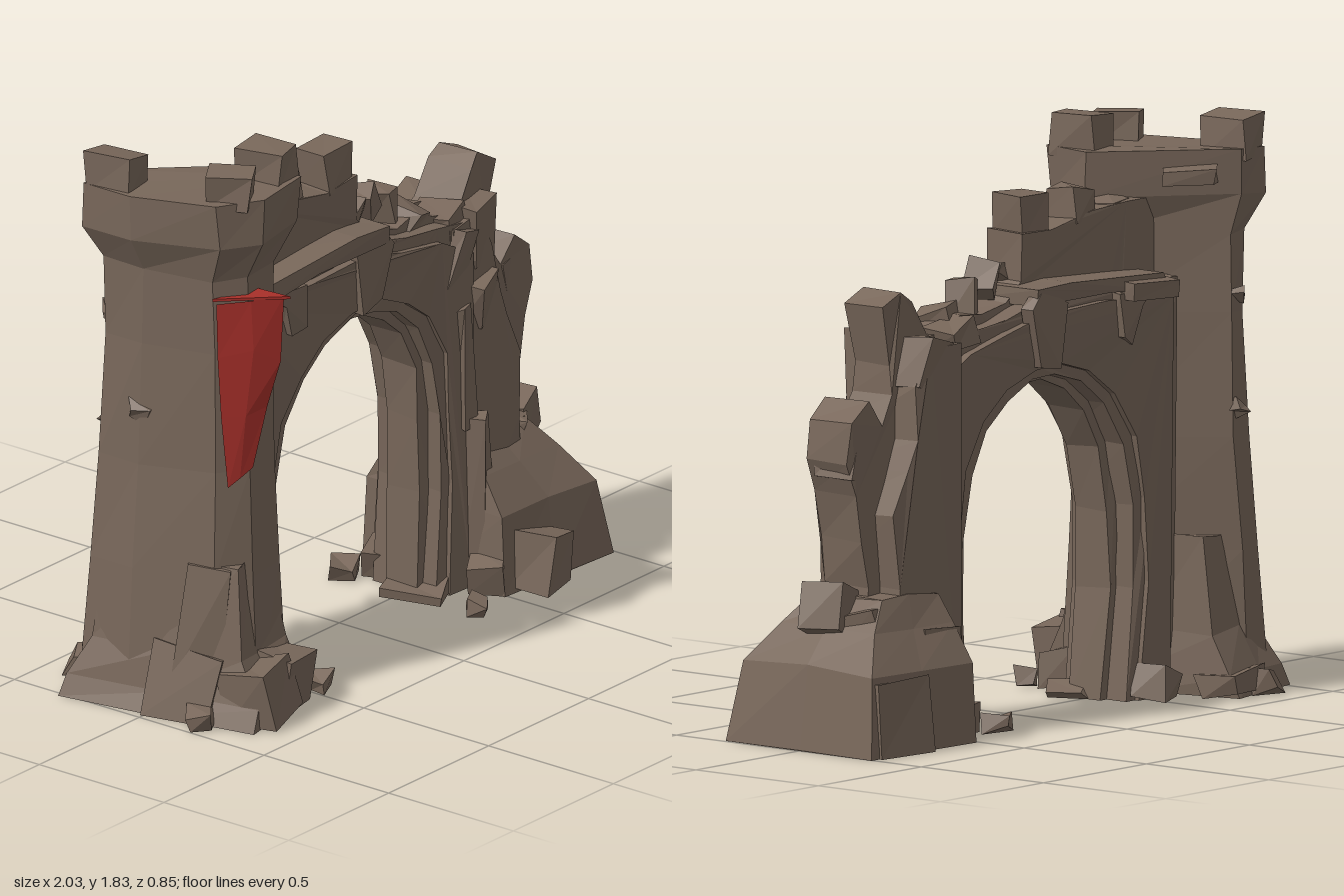
import * as THREE from 'three';

const stone = new THREE.MeshStandardMaterial({ color: 0x78675a });
stone.name = 'weathered stone';
const cloth = new THREE.MeshStandardMaterial({ color: 0xa8302a, side: THREE.DoubleSide });
cloth.name = 'red cloth';

// Shifts vertices by a rule of their position, so shared corners stay joined; then flat normals
function rough(geo, amt) {
  const g = geo.index ? geo.toNonIndexed() : geo;
  const p = g.attributes.position;
  for (let i = 0; i < p.count; i++) {
    const x = p.getX(i), y = p.getY(i), z = p.getZ(i);
    p.setXYZ(i,
      x + amt * Math.sin(37 * x + 23 * y + 51 * z),
      y < 0.005 ? 0 : Math.max(0, y + amt * Math.sin(29 * x + 41 * y + 33 * z + 1)),
      z + amt * Math.sin(43 * x + 31 * y + 27 * z + 2));
  }
  g.computeVertexNormals();
  return g;
}

function add(group, name, geo, amt = 0.01, mat = stone) {
  const mesh = new THREE.Mesh(rough(geo, amt), mat);
  mesh.name = name;
  group.add(mesh);
}

// Slab with a front outline in x, y, from z0 to z1
function slab(pts, z0, z1) {
  const shape = new THREE.Shape(pts.map(([x, y]) => new THREE.Vector2(x, y)));
  return new THREE.ExtrudeGeometry(shape, { depth: z1 - z0, bevelEnabled: false }).translate(0, 0, z0);
}

// Chipped block: centre, size, rotation
function block([x, y, z], [w, h, d], [rx, ry, rz] = [0, 0, 0]) {
  return new THREE.BoxGeometry(w, h, d).rotateX(rx).rotateY(ry).rotateZ(rz).translate(x, y, z);
}

// Footprints in units of half width and half depth
const rectangle = [[1, 1], [1, 0], [1, -1], [0, -1], [-1, -1], [-1, 0], [-1, 1], [0, 1]];
const brokenTower = [[0.95, 0.9], [1, 0.3], [-0.5, -1], [-1, -1], [-1, -0.3], [-0.57, 0.72], [0, 1]];

// Stack of footprint rings [y, centreX, centreZ, width, depth], turned about y
function loft(rings, turn = 0, footprint = rectangle) {
  const n = footprint.length, pos = [], idx = [];
  const c = Math.cos(turn), s = Math.sin(turn);
  for (const [y, cx, cz, w, d] of rings) {
    for (const [a, b] of footprint) {
      const u = a * w / 2, v = b * d / 2;
      pos.push(cx + u * c + v * s, y, cz - u * s + v * c);
    }
  }
  for (let r = 0; r < rings.length - 1; r++) {
    for (let i = 0; i < n; i++) {
      const a = r * n + i, b = r * n + (i + 1) % n;
      idx.push(a, b, b + n, a, b + n, a + n);
    }
  }
  const last = (rings.length - 1) * n;
  for (let i = 1; i < n - 1; i++) idx.push(0, i + 1, i, last, last + i, last + i + 1);
  const g = new THREE.BufferGeometry();
  g.setAttribute('position', new THREE.Float32BufferAttribute(pos, 3));
  g.setIndex(idx);
  return g;
}

// Arch opening, left foot to right foot, widened by off
function opening(off) {
  const pts = [[-0.39, 0], [-0.43, 0.35], [-0.42, 0.6], [-0.38, 0.8], [-0.3, 0.93], [-0.2, 1.01], [-0.08, 1.05],
    [0.02, 1.05], [0.14, 1.0], [0.23, 0.92], [0.3, 0.78], [0.32, 0.6], [0.33, 0.35], [0.31, 0]];
  return pts.map(([x, y]) => [-0.05 + (x + 0.05) * (1 + off / 0.38), y * (1 + off / 1.4)]);
}

export function createModel() {
  const model = new THREE.Group();
  model.name = 'ruinedArchway';
  const part = (name) => {
    const g = new THREE.Group();
    g.name = name;
    model.add(g);
    return g;
  };

  // Tower: broken shaft with a wider crown, standing on a flared foot
  const tower = part('tower');
  add(tower, 'towerFoot', loft([[0, -0.785, 0, 0.34, 0.7], [0.07, -0.775, 0, 0.31, 0.66], [0.2, -0.76, 0, 0.27, 0.53],
    [0.5, -0.735, -0.01, 0.22, 0.44]], 0.2), 0.01);
  add(tower, 'towerShaft', loft([
    [0, -0.74, -0.01, 0.4, 0.56], [0.45, -0.735, -0.015, 0.36, 0.51], [0.8, -0.725, -0.02, 0.32, 0.47],
    [1.2, -0.715, -0.02, 0.31, 0.46], [1.45, -0.715, -0.02, 0.32, 0.46],
    [1.57, -0.7, -0.015, 0.46, 0.54], [1.715, -0.7, -0.015, 0.46, 0.54]], 0, brokenTower), 0.006);
  for (const [p, size, ry] of [
    [[-0.865, 1.75, -0.2], [0.11, 0.13, 0.16], 0.15],
    [[-0.745, 1.75, 0.16], [0.1, 0.12, 0.14], 0.5],
    [[-0.54, 1.755, 0.14], [0.11, 0.14, 0.16], 0.15],
  ]) add(tower, 'towerMerlon', block(p, size, [0, ry, 0]), 0.008);
  add(tower, 'brokenCrownFloor', block([-0.7, 1.635, -0.17], [0.16, 0.05, 0.16], [0.05, 0.6, 0]), 0.01);
  // Rough buttresses and rubble around the tower
  for (const [p, size, rot] of [
    [[-0.9, 0.1, 0.1], [0.08, 0.24, 0.24], [0, 0.2, -0.25]],
    [[-0.82, 0.3, 0.12], [0.11, 0.4, 0.15], [0, 0.5, -0.12]],
    [[-0.65, 0.09, 0.28], [0.16, 0.2, 0.16], [0.1, 0.2, 0]],
    [[-0.78, 0.09, 0.3], [0.16, 0.18, 0.18], [-0.2, 0.2, 0.1]],
    [[-0.72, 0.04, -0.32], [0.18, 0.08, 0.14], [0.2, 0.2, 0]],
    [[-0.82, 0.04, -0.37], [0.08, 0.08, 0.08], [0.3, 0.5, 0.2]],
    [[-0.94, 0.03, 0.2], [0.08, 0.06, 0.07], [0, 0.6, 0.2]],
    [[-0.47, 0.03, 0.3], [0.06, 0.05, 0.06], [0.2, 0.2, 0.3]],
    [[-0.53, 0.06, 0.2], [0.12, 0.12, 0.14], [0.2, 0.4, 0]],
    [[-0.53, 0.05, -0.17], [0.12, 0.1, 0.12], [0, 0.4, 0.2]],
    [[-0.38, 0.02, 0.07], [0.1, 0.04, 0.12], [0, 0.5, -0.4]],
    [[-0.83, 1.48, -0.08], [0.06, 0.08, 0.08], [0.4, 0.3, 0.6]],
    [[-0.87, 0.97, -0.1], [0.04, 0.05, 0.08], [0.5, 0.3, 0.6]],
    [[-0.82, 1.25, -0.265], [0.05, 0.02, 0.04], [0.4, 0.2, 0.5]],
    [[-0.82, 0.9, -0.26], [0.04, 0.03, 0.05], [0.6, 0.2, 0.5]],
  ]) add(tower, 'towerRubble', block(p, size, rot), 0.012);

  // Arched wall in three stepped layers
  const wall = part('archWall');
  add(wall, 'innerWall', slab([...opening(0), [0.5, 0], [0.52, 1.24], [0.38, 1.27], [0.3, 1.31], [0.2, 1.29], [0.08, 1.32],
    [0.01, 1.38], [0, 1.53], [-0.15, 1.52], [-0.35, 1.55], [-0.52, 1.57], [-0.68, 1.57], [-0.68, 0]], -0.07, 0.065), 0.006);
  add(wall, 'middleWall', slab([...opening(0.035), [0.5, 0], [0.52, 1.22], [0.35, 1.25], [0.2, 1.27], [0.05, 1.3],
    [-0.3, 1.33], [-0.66, 1.32], [-0.66, 0]], -0.14, 0.11), 0.006);
  add(wall, 'outerWall', slab([...opening(0.08), [0.5, 0], [0.51, 1.12], [0.35, 1.2], [0.15, 1.24], [0, 1.28],
    [-0.3, 1.28], [-0.62, 1.27], [-0.62, 0]], -0.16, 0.13), 0.006);

  // Sloping ledge with broken corbels, front and back
  add(wall, 'ledge', slab([[-0.58, 1.29], [-0.3, 1.31], [0.06, 1.31], [0.06, 1.36], [-0.1, 1.375], [-0.57, 1.34]], -0.18, 0.155), 0.006);
  for (const z of [-0.16, 0.13]) {
    add(wall, 'corbel', slab([[-0.53, 1.3], [-0.46, 1.25], [-0.42, 1.14], [-0.36, 1.16], [-0.35, 1.3]], z - 0.02, z + 0.025), 0.006);
    add(wall, 'keystone', slab([[-0.06, 1.1], [0.04, 1.12], [0.09, 1.3], [0.03, 1.36], [-0.09, 1.3]], z - 0.025, z + 0.02), 0.006);
  }
  add(wall, 'ledgeEnd', block([-0.48, 1.305, -0.19], [0.22, 0.05, 0.05], [0, 0.03, 0.05]), 0.006);

  // Parapet merlons and loose stones along the broken top
  for (const [p, size, rot] of [
    [[-0.315, 1.58, 0], [0.11, 0.1, 0.12], [0, 0.05, 0]],
    [[-0.075, 1.575, 0], [0.13, 0.13, 0.13], [0, 0, -0.04]],
    [[-0.5, 1.54, 0], [0.12, 0.06, 0.1], [0, 0.1, -0.1]],
    [[0.1, 1.39, 0], [0.07, 0.11, 0.09], [0.2, 0.4, 0.6]],
    [[0.03, 1.4, 0.02], [0.06, 0.05, 0.08], [0.3, 0.2, 0.5]],
    [[0.22, 1.34, -0.01], [0.07, 0.13, 0.09], [0.1, 0.5, 0.15]],
    [[0.3, 1.29, 0.02], [0.1, 0.06, 0.12], [0.2, 0.3, -0.2]],
    [[0.36, 1.25, -0.08], [0.14, 0.07, 0.12], [0, 0.1, -0.2]],
    [[0.44, 1.23, 0.04], [0.1, 0.08, 0.14], [0, 0.3, 0.2]],
    [[0.44, 1.12, 0.1], [0.1, 0.2, 0.08], [0.1, 0.2, -0.3]],
  ]) add(wall, 'parapetStone', block(p, size, rot), 0.01);

  // Broken pier
  const pier = part('brokenPier');
  add(pier, 'pierCore', slab([[0.4, 0], [0.82, 0], [0.78, 0.5], [0.8, 0.65], [0.82, 0.8], [0.87, 0.9], [0.85, 1.02], [0.77, 1.08],
    [0.7, 1.0], [0.65, 1.1], [0.65, 1.18], [0.69, 1.38], [0.6, 1.42], [0.56, 1.37], [0.49, 1.26], [0.42, 1.24]], -0.085, 0.075), 0.008);
  add(pier, 'pierBody', slab([[0.4, 0], [0.76, 0], [0.72, 0.5], [0.74, 0.72], [0.68, 0.86], [0.64, 0.95], [0.62, 1.12],
    [0.55, 1.24], [0.42, 1.23]], -0.17, 0.13), 0.01);
  for (const [p, size, rot] of [
    [[0.56, 1.17, 0.08], [0.12, 0.22, 0.1], [0.1, 0.3, 0.1]],
    [[0.54, 1.18, -0.11], [0.14, 0.16, 0.12], [0, 0.2, 0.2]],
    [[0.57, 0.95, 0.1], [0.12, 0.16, 0.08], [0.2, 0.3, 0.3]],
    [[0.46, 0.75, 0.12], [0.06, 0.4, 0.06], [0, 0.3, 0.05]],
    [[0.52, 0.3, 0.13], [0.08, 0.55, 0.1], [0, 0.3, 0.05]],
    [[0.78, 0.92, 0], [0.13, 0.18, 0.15], [0, 0.2, 0.2]],
  ]) add(pier, 'pierStone', block(p, size, rot), 0.01);

  // Fallen masonry at the foot of the pier, sloping up towards the arch
  const heap = part('fallenMasonry');
  add(heap, 'masonryBlock', loft([[0, 0.745, -0.01, 0.5, 0.6], [0.26, 0.735, -0.015, 0.45, 0.55],
    [0.38, 0.7, -0.02, 0.35, 0.4], [0.47, 0.66, -0.04, 0.26, 0.28]], -0.04), 0.008);
  for (const [p, size, rot] of [
    [[0.64, 0.09, 0.3], [0.17, 0.18, 0.15], [0, 0.25, -0.15]],
    [[0.86, 0.43, 0], [0.13, 0.15, 0.14], [0.1, 0.3, 0.25]],
    [[0.77, 0.44, 0.06], [0.08, 0.08, 0.1], [0.3, 0.5, 0.2]],
    [[0.78, 0.38, -0.1], [0.16, 0.1, 0.14], [0.2, 0.2, 0]],
    [[0.57, 0.18, -0.2], [0.16, 0.36, 0.08], [0, -0.15, 0]],
    [[0.85, 0.12, -0.285], [0.22, 0.24, 0.06], [0.08, -0.12, 0]],
    [[0.5, 0.06, 0.2], [0.12, 0.12, 0.12], [0, 0.4, 0.3]],
    [[0.33, 0.03, 0.29], [0.07, 0.05, 0.06], [0.2, 0.6, 0.2]],
    [[0.31, 0.03, -0.23], [0.1, 0.05, 0.08], [0.2, 0.5, 0.2]],
    [[0.32, 0.02, 0.05], [0.12, 0.04, 0.2], [0, 0.3, 0.2]],
    [[0.42, 0.05, -0.16], [0.14, 0.1, 0.1], [0, 0.4, 0.2]],
  ]) add(heap, 'rubble', block(p, size, rot), 0.01);

  // Torn hanging banner along the oblique tower face: rows of left, fold and right points
  const rows = [
    [[-0.82, 1.38, 0.165], [-0.74, 1.385, 0.24], [-0.65, 1.39, 0.3]],
    [[-0.82, 1.2, 0.17], [-0.74, 1.22, 0.25], [-0.66, 1.17, 0.295]],
    [[-0.815, 1.0, 0.18], [-0.76, 1.0, 0.235], [-0.69, 1.02, 0.265]],
    [[-0.8, 0.76, 0.195], [-0.77, 0.79, 0.22], [-0.73, 0.82, 0.24]]];
  const sheet = new THREE.PlaneGeometry(1, 1, 2, 3);
  rows.flat().forEach((p, i) => sheet.attributes.position.setXYZ(i, ...p));
  const banner = part('banner');
  add(banner, 'bannerCloth', sheet, 0, cloth);
  add(banner, 'bannerTop', slab([[-0.82, -0.15], [-0.65, -0.325], [-0.66, -0.2]], 0, 0.009)
    .rotateX(-Math.PI / 2).translate(0, 1.385, 0), 0, cloth);
  return model;
}
